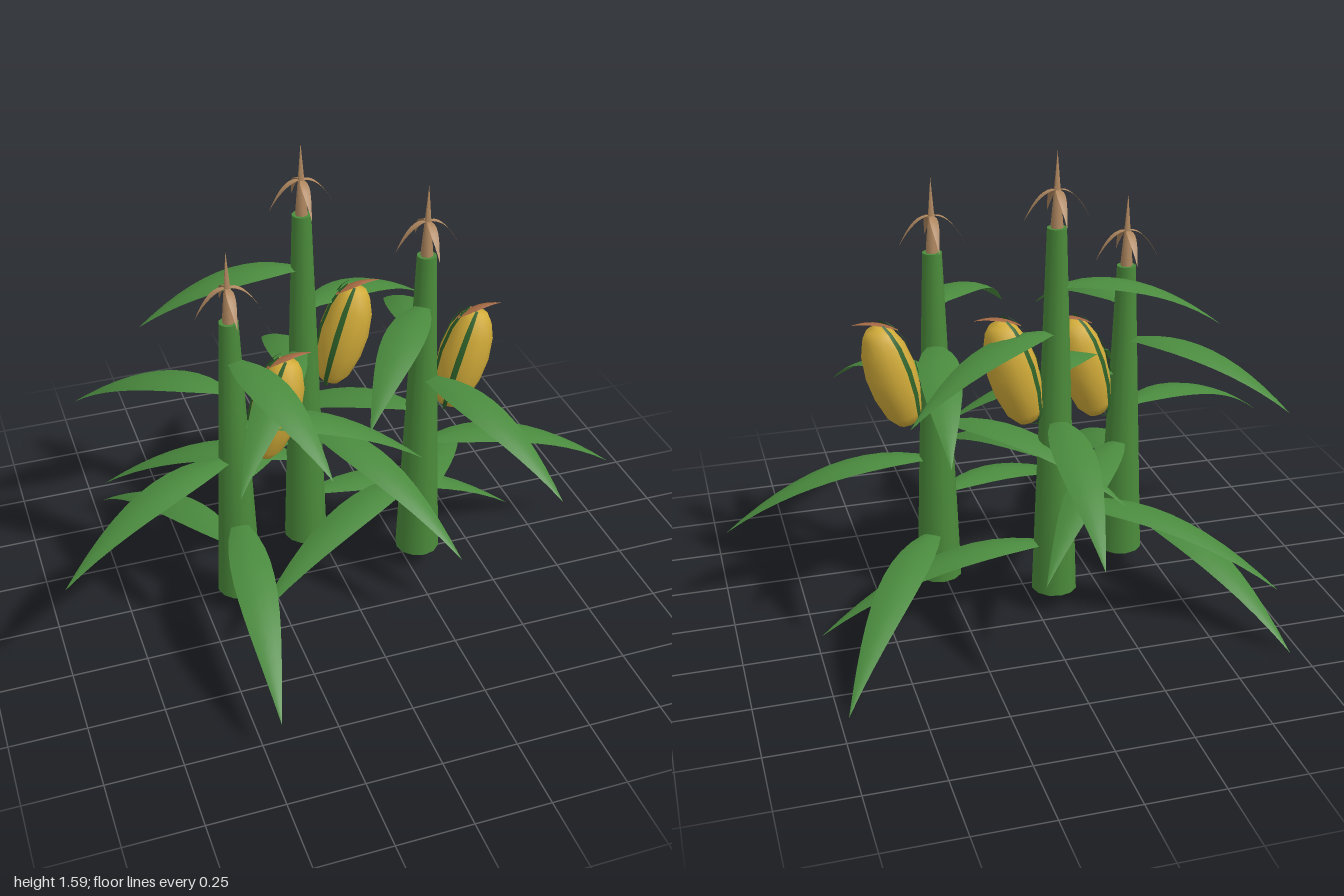
import * as THREE from 'three';

const mat = (name, color, side = THREE.FrontSide) => {
  const m = new THREE.MeshStandardMaterial({ color, side });
  m.name = name;
  return m;
};

// Arching pointed blade running along +x: y = rise*t - drop*t^2, with slightly lowered edges
function bladeGeometry(length, width, rise, drop, cup, rows = 12) {
  const g = new THREE.PlaneGeometry(1, 1, 4, rows);
  const p = g.attributes.position;
  for (let i = 0; i < p.count; i++) {
    const u = p.getX(i), t = p.getY(i) + 0.5;
    const w = width * Math.max(Math.sin(Math.PI * Math.pow(t, 0.75)), 0.3 * (1 - t));
    const y = rise * t - drop * t * t + cup * (0.5 - 4 * u * u) * w / width;
    p.setXYZ(i, t * length, y, u * w);
  }
  g.computeVertexNormals();
  return g;
}

export function createModel() {
  const stalkGreen = mat('stalk green', 0x4a8a3a);
  const leafGreen = mat('leaf green', 0x4a8a3e, THREE.DoubleSide);
  const huskGreen = mat('husk green', 0x2f6129, THREE.DoubleSide);
  const kernelYellow = mat('kernel yellow', 0xd0aa38);
  const tasselTan = mat('tassel tan', 0xb08860, THREE.DoubleSide);
  const silkBrown = mat('silk brown', 0xa0653f, THREE.DoubleSide);

  const model = new THREE.Group();
  model.name = 'cornStalks';
  const add = (parent, name, geometry, material, x = 0, y = 0, z = 0) => {
    const m = new THREE.Mesh(geometry, material);
    m.name = name;
    m.position.set(x, y, z);
    parent.add(m);
    return m;
  };
  const rad = THREE.MathUtils.degToRad;
  const base = 0.07;

  // Each plant: position, stalk top, ear centre, leaf spacing and leaf directions from low to high
  const plants = [
    { x: -0.377, z: 0.065, top: 1.12, ear: [0.143, 0.77], step: 0.125, angles: [-115, 96, -52, 158, 12, -140, 72] },
    { x: -0.068, z: -0.15, top: 1.34, ear: [0.141, 0.87], step: 0.152, angles: [0, -149, 62, -86, 126, -25, -173] },
    { x: 0.287, z: 0.045, top: 1.23, ear: [0.143, 0.82], step: 0.136, angles: [-57, 156, 4, -143, 66, -82, 129] },
  ];

  const earProfile = [[0, -0.18], [0.035, -0.175], [0.06, -0.14], [0.079, -0.06], [0.084, 0.02],
    [0.074, 0.1], [0.054, 0.15], [0.034, 0.175], [0, 0.18]];
  const earGeometry = new THREE.LatheGeometry(earProfile.map(([r, y]) => new THREE.Vector2(r, y)), 12);
  const huskPoints = earProfile.slice(0, -1).map(([r, y]) => new THREE.Vector2(r * 1.03 + 0.002, y * 1.07));
  const strandGeometry = bladeGeometry(0.108, 0.027, 0.02, 0.115, -0.002, 8);
  const silkGeometry = bladeGeometry(0.155, 0.034, 0.09, 0.062, 0.006, 8);

  for (const { x, z, top, ear, step, angles } of plants) {
    const plant = new THREE.Group();
    plant.name = 'plant';
    plant.position.set(x, 0, z);
    model.add(plant);

    // Tapered stalk
    add(plant, 'stalk', new THREE.CylinderGeometry(0.032, 0.077, top - base, 12), stalkGreen, 0, (top + base) / 2, 0);

    // Leaves spiral up the stalk and get shorter
    angles.forEach((a, i) => {
      const L = 0.8 - 0.043 * i;
      const leaf = add(plant, 'leaf', bladeGeometry(L, 0.135, 0.196 * L, 0.49 * L, 0.014), leafGreen, 0, 0.235 + step * i, 0);
      leaf.rotation.y = -rad(a);
    });

    // Tassel: a central spike with four drooping strands
    const tassel = new THREE.Group();
    tassel.name = 'tassel';
    tassel.position.y = top;
    plant.add(tassel);
    add(tassel, 'spike', new THREE.ConeGeometry(0.021, 0.245, 6), tasselTan, 0, 0.1225, 0);
    for (let i = 0; i < 4; i++) {
      add(tassel, 'strand', strandGeometry, tasselTan, 0, 0.12, 0).rotation.y = i * Math.PI / 2;
    }

    // Ear leaning outward, with husk strips on the stalk side
    const cob = new THREE.Group();
    cob.name = 'ear';
    cob.position.set(ear[0], ear[1], 0);
    cob.rotation.z = rad(-16);
    plant.add(cob);
    add(cob, 'kernels', earGeometry, kernelYellow);
    for (const a of [127, 180, 233]) {
      add(cob, 'husk', new THREE.LatheGeometry(huskPoints, 2, rad(90 - a) - 0.115, 0.23), huskGreen);
    }
    add(plant, 'silk', silkGeometry, silkBrown, ear[0] - 0.025, ear[1] + 0.158, 0);
  }
  return model;
}
